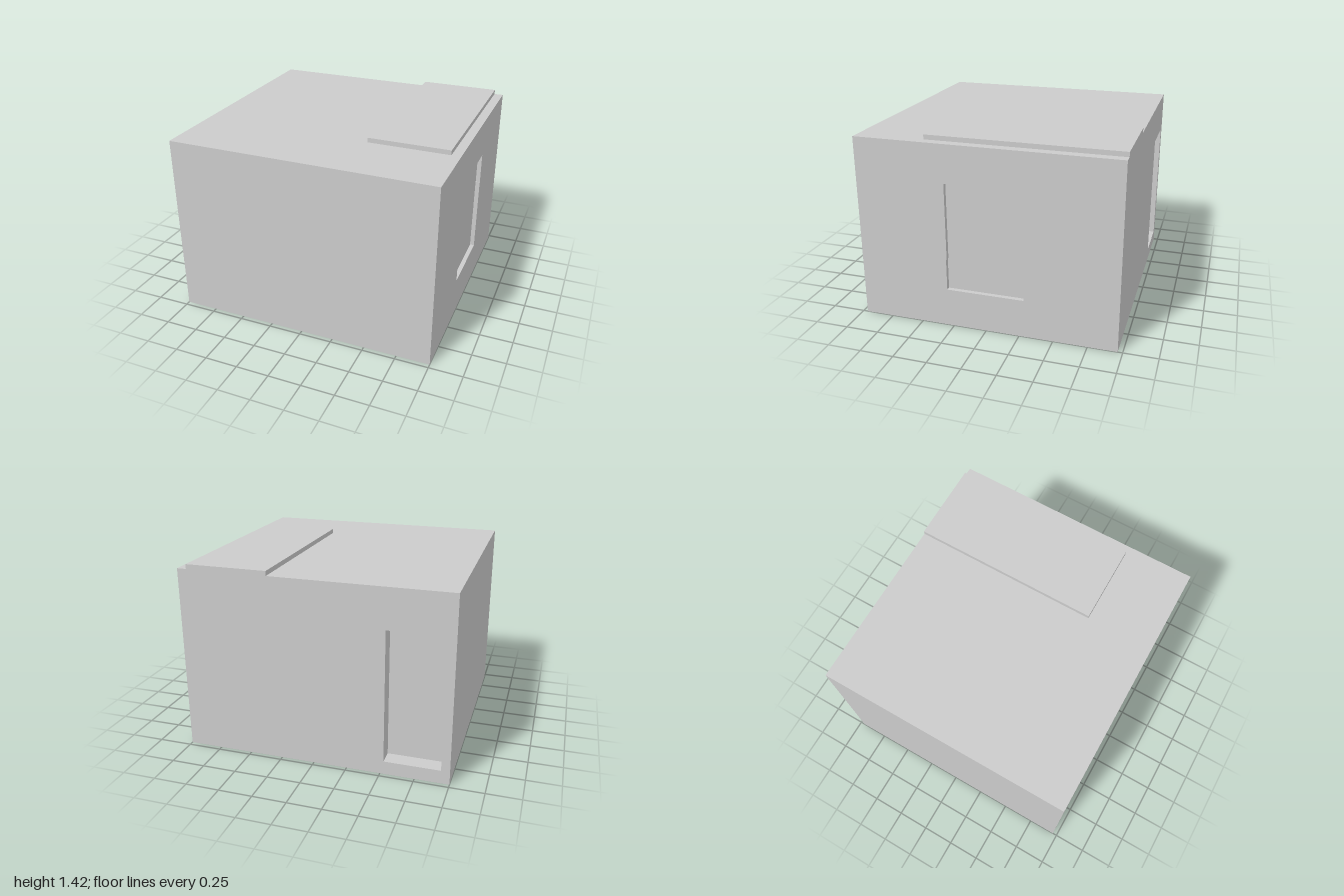
import * as THREE from 'three';

const W = 1, H = 1.39, D = 0.965; // half width, height, half depth
const material = new THREE.MeshStandardMaterial({ color: 0xcccccc, flatShading: true });

function mesh(geometry, name) {
  const m = new THREE.Mesh(geometry, material);
  m.name = name;
  return m;
}

const rect = (x0, y0, x1, y1) => [[x0, y0], [x1, y0], [x1, y1], [x0, y1]];
const toShape = (pts) => new THREE.Shape(pts.map(([x, y]) => new THREE.Vector2(x, y)));

// Inward facing side walls of a recess with a counter-clockwise outline
function recessSides(pts, depth) {
  const pos = [];
  pts.forEach(([ax, ay], i) => {
    const [bx, by] = pts[(i + 1) % pts.length];
    pos.push(ax, ay, 0, bx, by, 0, bx, by, -depth);
    pos.push(ax, ay, 0, bx, by, -depth, ax, ay, -depth);
  });
  const g = new THREE.BufferGeometry();
  g.setAttribute('position', new THREE.Float32BufferAttribute(pos, 3));
  g.computeVertexNormals();
  return g;
}

// Flat panel facing local +z, with sunken recesses
function panel(name, outline, recesses = []) {
  const group = new THREE.Group();
  group.name = name;
  const shape = toShape(outline);
  for (const r of recesses) {
    shape.holes.push(toShape(r.pts));
    group.add(mesh(recessSides(r.pts, r.depth), r.name + 'Sides'));
    const back = mesh(new THREE.ShapeGeometry(toShape(r.pts)), r.name + 'Back');
    back.position.z = -r.depth;
    group.add(back);
  }
  group.add(mesh(new THREE.ShapeGeometry(shape), name + 'Surface'));
  return group;
}

function box(name, x0, x1, y0, y1, z0, z1) {
  const m = mesh(new THREE.BoxGeometry(x1 - x0, y1 - y0, z1 - z0), name);
  m.position.set((x0 + x1) / 2, (y0 + y1) / 2, (z0 + z1) / 2);
  return m;
}

export function createModel() {
  const model = new THREE.Group();
  model.name = 'buildingBlock';

  const place = (p, rx, ry, x, y, z) => {
    p.rotation.set(rx, ry, 0);
    p.position.set(x, y, z);
    model.add(p);
  };
  const wide = rect(-W, 0, W, H), side = rect(-D, 0, D, H), flat = rect(-W, -D, W, D);

  // Plain walls and roof
  place(panel('frontWall', wide), 0, 0, 0, 0, D);
  place(panel('sideWallPlain', side), 0, -Math.PI / 2, -W, 0, 0);
  place(panel('roof', flat), -Math.PI / 2, 0, 0, H, 0);

  // Back wall with the doorway
  place(panel('backWall', wide, [
    { name: 'doorway', pts: rect(0.525, 0.1, 0.937, 1.09), depth: 0.12 },
  ]), 0, Math.PI, 0, 0, -D);

  // Side wall with the shallow window, its edges slightly offset
  const windowPts = [[-0.295, 0.29], [0.285, 0.29], [0.285, 0.87], [0.29, 0.87],
    [0.29, 1.105], [-0.29, 1.105], [-0.29, 0.53], [-0.295, 0.53]];
  place(panel('windowWall', side, [
    { name: 'window', pts: windowPts, depth: 0.033 },
  ]), 0, Math.PI / 2, W, 0, 0);

  // Underside with three pockets
  const chamfered = [[-0.18, -0.6], [-0.09, -0.7], [0.13, -0.7], [0.235, -0.6],
    [0.235, -0.41], [-0.18, -0.41]];
  place(panel('underside', flat, [
    { name: 'longPocket', pts: rect(0.51, -0.9, 0.755, -0.43), depth: 0.18 },
    { name: 'chamferedPocket', pts: chamfered, depth: 0.18 },
    { name: 'smallPocket', pts: rect(-0.795, -0.485, -0.68, -0.41), depth: 0.1 },
  ]), Math.PI / 2, 0, 0, 0, 0);

  // Ledges inside the two larger pockets
  model.add(box('longPocketLedge', 0.6, 0.7, 0.05, 0.18, -0.7, -0.43));
  model.add(box('chamferedPocketLedge', -0.11, 0.165, 0.05, 0.18, -0.53, -0.41));

  // Raised slab on the roof
  model.add(box('roofSlab', 0.32, 0.93, H, 1.425, -D, 0.455));

  return model;
}
